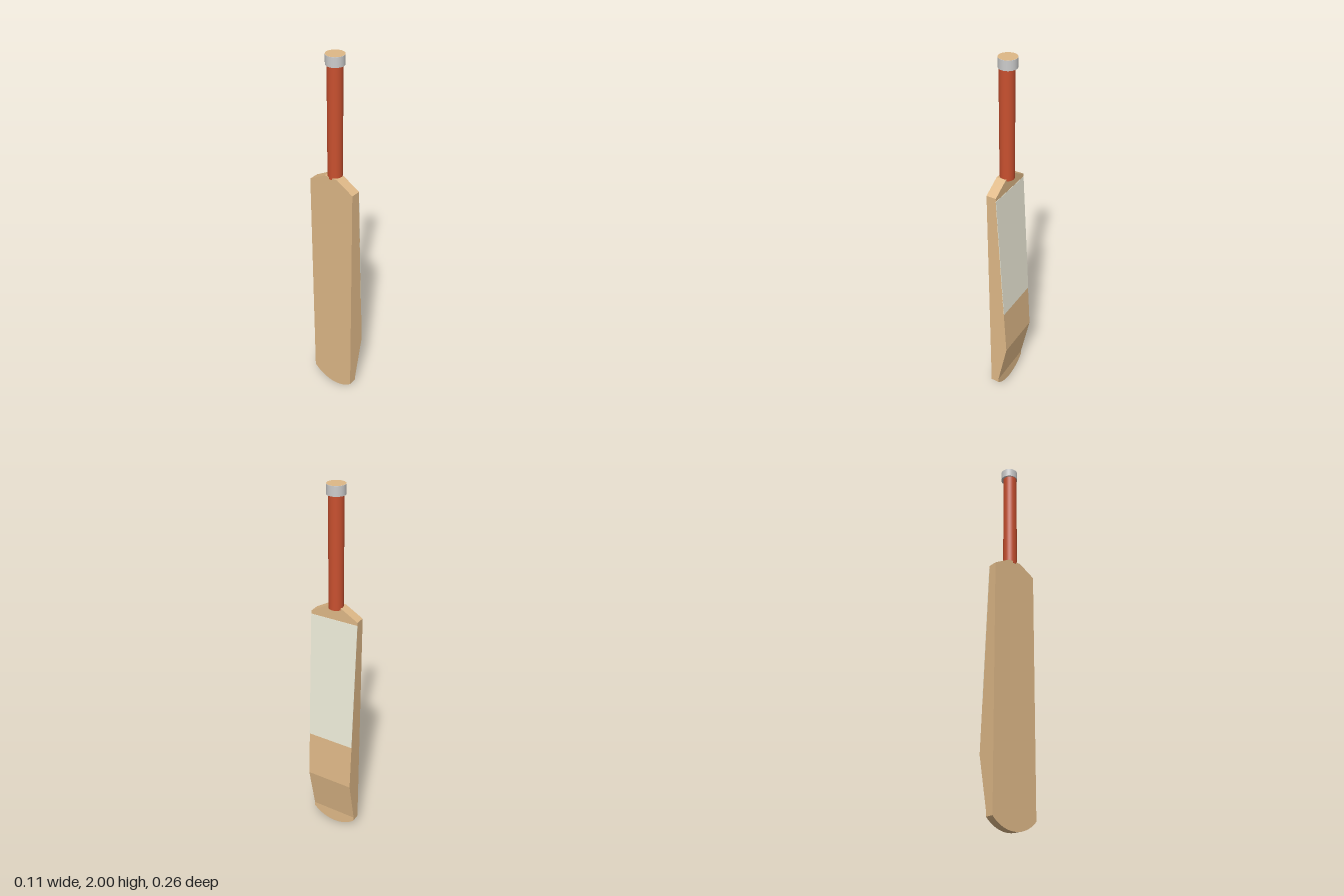
import * as THREE from 'three';

const mat = (color) => new THREE.MeshStandardMaterial({ color });
const WOOD = 0xdeb887, HALF = 0.13;

// x of the flat back and of the ridged striking side at height y
const backX = (y) => -0.046 - 0.004 * y;
function frontX(y) {
  if (y < 0.08) return 0;
  if (y < 0.35) return 0.055 * (y - 0.08) / 0.27;
  return Math.max(0, 0.055 * (1.33 - y) / 0.98);
}

// Blade lofted from rectangular cross-sections [height, half width]
function bladeGeometry() {
  const rows = [];
  const sag = 0.058, r = (HALF * HALF + sag * sag) / (2 * sag), end = Math.asin(HALF / r);
  for (let i = 0; i <= 16; i++) {
    const a = end * i / 16;
    rows.push([r * (1 - Math.cos(a)), r * Math.sin(a)]);
  }
  rows.push([0.08, HALF], [0.35, HALF], [1.33, HALF], [1.347, HALF], [1.4, 0.037]);

  const rings = rows.map(([y, w]) => [
    [backX(y), y, -w], [backX(y), y, w], [frontX(y), y, w], [frontX(y), y, -w],
  ]);
  const pos = [];
  const quad = (a, b, c, d) => pos.push(...a, ...b, ...c, ...a, ...c, ...d);
  for (let i = 0; i < rings.length - 1; i++) {
    for (let j = 0; j < 4; j++) {
      const k = (j + 1) % 4;
      quad(rings[i][j], rings[i][k], rings[i + 1][k], rings[i + 1][j]);
    }
  }
  quad(...rings[rings.length - 1]);
  const geo = new THREE.BufferGeometry();
  geo.setAttribute('position', new THREE.Float32BufferAttribute(pos, 3));
  geo.computeVertexNormals();
  return geo;
}

export function createModel() {
  const group = new THREE.Group();
  const add = (name, geo, color, x, y, z) => {
    const mesh = new THREE.Mesh(geo, mat(color));
    mesh.name = name;
    mesh.position.set(x, y, z);
    group.add(mesh);
    return mesh;
  };

  add('blade', bladeGeometry(), WOOD, 0, 0, 0);

  // Pale panel lying on the upper striking face
  const y0 = 0.615, y1 = 1.33, dx = frontX(y1) - frontX(y0), dy = y1 - y0;
  const panel = add('facePanel', new THREE.BoxGeometry(0.003, Math.hypot(dx, dy), 2 * HALF),
    0xeeecda, (frontX(y0) + frontX(y1)) / 2, (y0 + y1) / 2, 0);
  panel.rotation.z = Math.atan2(-dx, dy);

  // Round grip, collar and the wooden end of the handle
  add('handleGrip', new THREE.CylinderGeometry(0.037, 0.037, 0.57, 48), 0xc8502f, -0.016, 1.675, -0.002);
  add('collar', new THREE.CylinderGeometry(0.045, 0.045, 0.047, 48), 0xcccccc, -0.012, 1.9755, -0.004);
  const end = add('handleEnd', new THREE.CircleGeometry(0.045, 48), WOOD, -0.012, 2, -0.004);
  end.rotation.x = -Math.PI / 2;

  return group;
}
